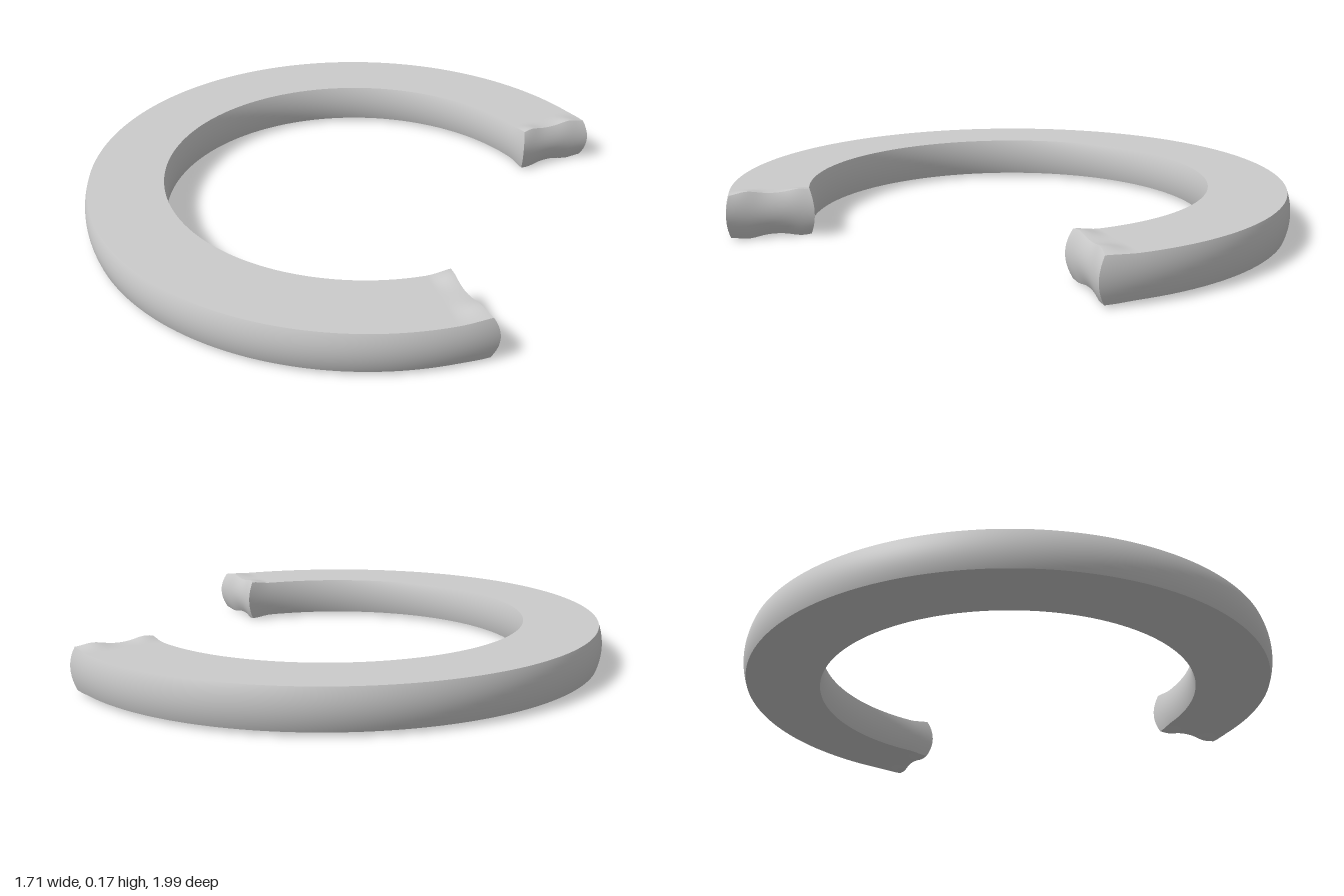
import * as THREE from 'three';
import { ParametricGeometry } from 'three/addons/geometries/ParametricGeometry.js';
import { mergeGeometries } from 'three/addons/utils/BufferGeometryUtils.js';

const CENTRE_X = 0.143;
const MID_Y = 0.0825;
const HALF_ARC = THREE.MathUtils.degToRad(134.4);

// Point of the ring: s runs along the arc (-1..1), u from inner to outer rim,
// v from bottom to top (-1..1).
function ringPoint(s, u, v, target) {
  const bulge = 1 - v * v;
  const inner = 0.711 - 0.011 * bulge;
  const outer = 0.983 + 0.013 * bulge;
  const r = inner + (outer - inner) * u;

  // Slight swelling close to both cut ends, strongest near the two rims
  const end = THREE.MathUtils.smoothstep(Math.abs(s), 0.95, 1);
  const hump = (c) => Math.exp(-(((u - c) / 0.17) ** 2));
  const swell = end * (0.002 + 0.011 * (hump(0.12) + hump(0.78)));
  const y = MID_Y + v * (0.07 + swell);

  // Cut faces: bowed outwards in height, hollowed between the rims
  const push = end * (0.022 * bulge - 0.012 * 4 * u * (1 - u));
  const angle = s * HALF_ARC + (Math.sign(s) * push) / r;
  target.set(CENTRE_X - r * Math.cos(angle), y, r * Math.sin(angle));
}

export function createModel() {
  const group = new THREE.Group();
  const arc = 200, across = 20, high = 10;
  const pm = (t) => 2 * t - 1;
  const face = (fn, a, b) =>
    new ParametricGeometry((p, q, target) => ringPoint(...fn(p, q), target), a, b);

  // Six smooth faces that meet in sharp edges
  const geometry = mergeGeometries([
    face((p, q) => [pm(q), p, 1], across, arc),  // top
    face((p, q) => [pm(p), q, -1], arc, across), // bottom
    face((p, q) => [pm(p), 1, pm(q)], arc, high), // outer rim
    face((p, q) => [pm(q), 0, pm(p)], high, arc), // inner rim
    face((p, q) => [1, q, pm(p)], high, across),  // front cut end
    face((p, q) => [-1, p, pm(q)], across, high), // back cut end
  ]);

  const ring = new THREE.Mesh(geometry, new THREE.MeshStandardMaterial({ color: 0xcccccc }));
  ring.name = 'openRing';
  group.add(ring);
  return group;
}
